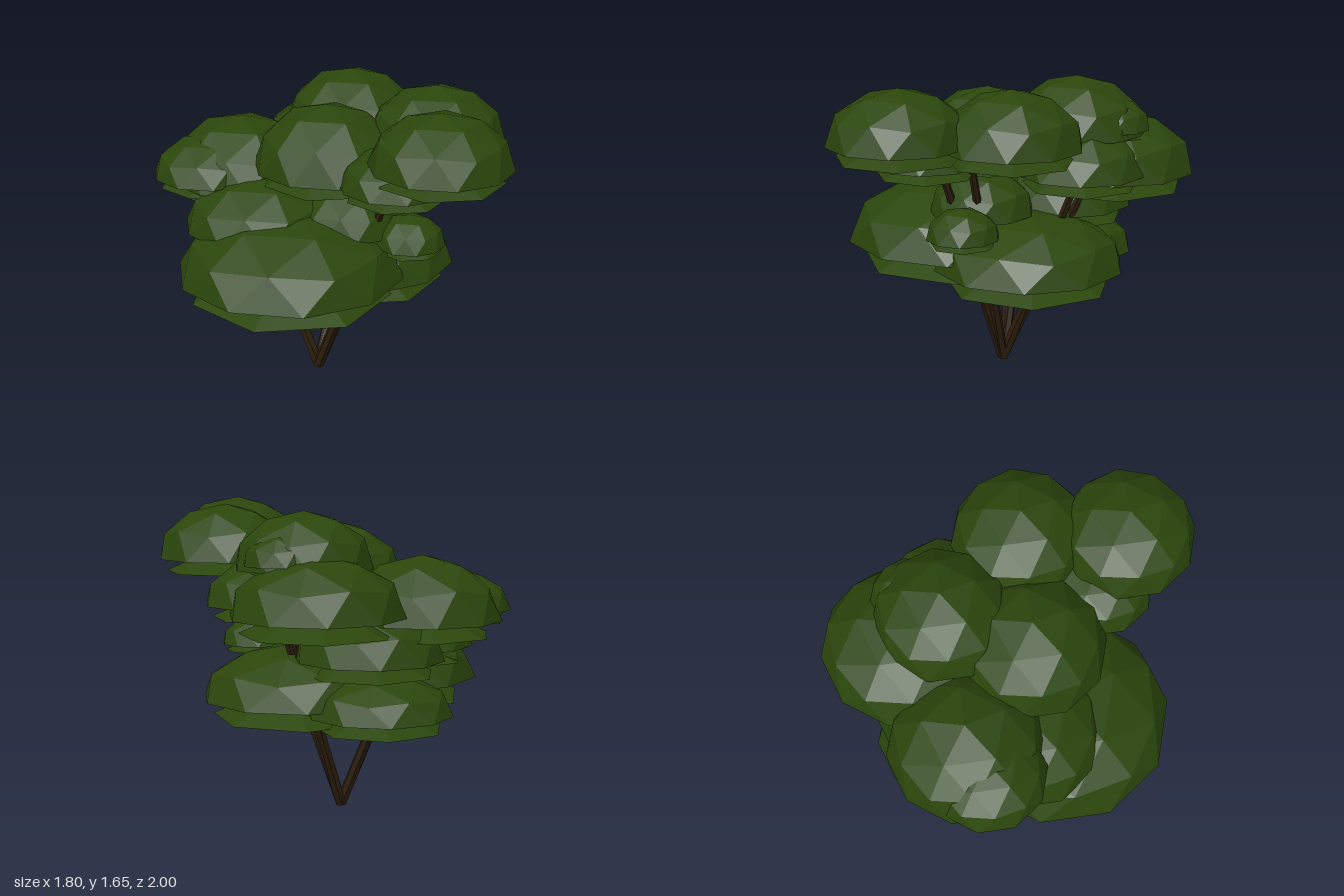
import * as THREE from 'three';

export function createModel() {
  const tree = new THREE.Group();
  tree.name = 'tree';
  const leaf = new THREE.MeshStandardMaterial({ color: 0x2b460c, flatShading: true });
  leaf.name = 'leaf green';
  const bark = new THREE.MeshStandardMaterial({ color: 0x2c1e0c, flatShading: true });
  bark.name = 'bark brown';

  // Faceted dome with a flat underside, pole on +y, rim corners on the z axis
  const dome = new THREE.IcosahedronGeometry(1, 1);
  dome.rotateX(-Math.atan((1 + Math.sqrt(5)) / 2));
  dome.rotateY(Math.PI / 2);
  const p = dome.attributes.position;
  for (let i = 0; i < p.count; i++) if (p.getY(i) < 0) p.setY(i, 0);
  dome.computeVertexNormals();

  // Shallow seven-sided leaf layer that hangs below a dome, one corner at -z
  const skirt = new THREE.CylinderGeometry(0.45, 0.89, 0.195, 7, 1, false, Math.PI);
  skirt.translate(0, -0.0975, 0);

  function addPart(group, name, geometry, y, width, height) {
    const mesh = new THREE.Mesh(geometry, leaf);
    mesh.name = name;
    mesh.position.y = y;
    mesh.scale.set(width, height, width);
    group.add(mesh);
  }

  // Foliage clumps: x, z, radius, base height, top height
  const clumps = [
    [0.465, 0.64, 0.36, 1.38, 1.65],
    [0.555, 0.105, 0.363, 1.35, 1.635],
    [0.18, -0.35, 0.36, 1.33, 1.62],
    [0.3, -0.5, 0.2, 1.36, 1.52],
    [-0.01, 0.08, 0.39, 1.22, 1.55],
    [0.135, -0.555, 0.445, 1.11, 1.42],
    [-0.43, -0.315, 0.415, 1.06, 1.39],
    [-0.61, -0.23, 0.305, 1.1, 1.31],
    [-0.15, -0.375, 0.39, 0.866, 1.14],
    [0.345, -0.32, 0.34, 1.15, 1.39],
    [0.28, 0.47, 0.29, 1.23, 1.43],
    [-0.225, 0.2, 0.6, 0.69, 1.025],
    [-0.36, 0.005, 0.405, 0.885, 1.16],
    [0.19, -0.09, 0.51, 0.625, 0.91],
    [0.09, 0.14, 0.28, 0.9, 1.13],
    [0.385, 0.31, 0.19, 0.855, 1.01],
    [-0.2, -0.41, 0.38, 0.585, 0.8],
  ];
  for (const [x, z, r, base, top] of clumps) {
    const clump = new THREE.Group();
    clump.name = 'foliageClump';
    clump.position.set(x, 0, z);
    addPart(clump, 'leafDome', dome, base, r, top - base);
    addPart(clump, 'leafLayer', skirt, base, r, r);
    tree.add(clump);
  }

  // Straight stems fanning out from one foot: tip positions
  const foot = new THREE.Vector3(-0.05, 0.012, -0.015);
  const tips = [
    [0.295, 1.3, 0.43],
    [0.415, 1.36, 0.29],
    [-0.49, 1.2, -0.25],
    [-0.46, 1.2, -0.31],
    [0.36, 1.25, -0.36],
    [0.3, 1.2, -0.43],
  ];
  for (const tip of tips) {
    const along = new THREE.Vector3(...tip).sub(foot);
    const length = along.length();
    const geometry = new THREE.CylinderGeometry(0.019, 0.03, length, 6);
    geometry.translate(0, length / 2, 0);
    const stem = new THREE.Mesh(geometry, bark);
    stem.name = 'stem';
    stem.position.copy(foot);
    stem.quaternion.setFromUnitVectors(new THREE.Vector3(0, 1, 0), along.normalize());
    tree.add(stem);
  }
  return tree;
}
